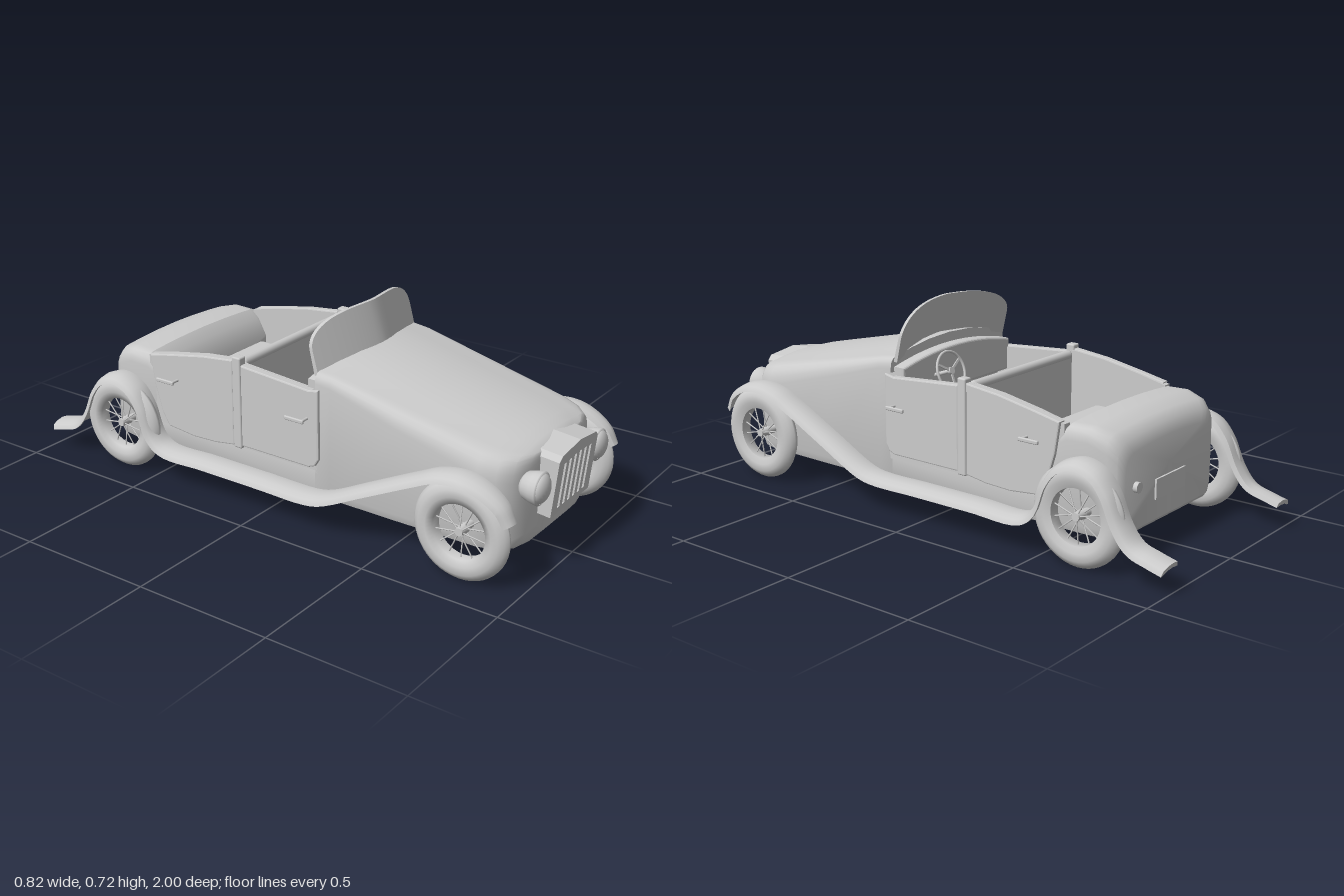
import * as THREE from 'three';
import { toCreasedNormals } from 'three/addons/utils/BufferGeometryUtils.js';
import { RoundedBoxGeometry } from 'three/addons/geometries/RoundedBoxGeometry.js';

const grey = new THREE.MeshStandardMaterial({ color: 0xcccccc });
const greyDouble = new THREE.MeshStandardMaterial({ color: 0xcccccc, side: THREE.DoubleSide });
const V = (x, y, z) => new THREE.Vector3(x, y, z);

export function createModel() {
  const car = new THREE.Group();
  car.name = 'roadster';

  const add = (name, geo, x = 0, y = 0, z = 0, parent = car, mat = grey) => {
    const m = new THREE.Mesh(geo, mat);
    m.name = name;
    m.position.set(x, y, z);
    parent.add(m);
    return m;
  };

  // Skin closed loops of points into a capped solid
  const loft = (loops, crease = 0.6) => {
    const n = loops[0].length, pos = [], idx = [];
    loops.forEach(l => l.forEach(p => pos.push(p.x, p.y, p.z)));
    for (let i = 0; i < loops.length - 1; i++) for (let j = 0; j < n; j++) {
      const a = i * n + j, b = i * n + (j + 1) % n;
      idx.push(a, b, a + n, b, b + n, a + n);
    }
    [0, loops.length - 1].forEach((k, end) => {
      const c = loops[k].reduce((s, p) => s.add(p), V(0, 0, 0)).divideScalar(n);
      const ci = pos.length / 3;
      pos.push(c.x, c.y, c.z);
      for (let j = 0; j < n; j++) {
        const a = k * n + j, b = k * n + (j + 1) % n;
        end ? idx.push(ci, a, b) : idx.push(ci, b, a);
      }
    });
    const g = new THREE.BufferGeometry();
    g.setAttribute('position', new THREE.Float32BufferAttribute(pos, 3));
    g.setIndex(idx);
    return toCreasedNormals(g, crease);
  };

  // Body cross-section: flat bottom, rounded shoulders, crowned top
  const section = ([z, w, b, t, crown, r]) => {
    const top = x => t - crown * (x / w) ** 2;
    const half = [[w - 0.035, b], [w - 0.01, b + 0.012], [w, b + 0.04]];
    const y1 = top(w - r), y0 = y1 - r;
    for (let i = 0; i <= 5; i++) {
      const k = i / 5;
      half.push([w - r * k * k, y0 + (y1 - y0) * (2 * k - k * k)]);
    }
    [0.75, 0.4].forEach(k => half.push([(w - r) * k, top((w - r) * k)]));
    return [V(0, b, z), ...half.map(p => V(p[0], p[1], z)), V(0, t, z),
      ...half.reverse().map(p => V(-p[0], p[1], z))];
  };
  const body = (name, rows) => add(name, loft(rows.map(section)), 0, 0, 0, car, greyDouble);

  body('hood', [
    [0.18, 0.315, 0.08, 0.582, 0.045, 0.04], [0.24, 0.315, 0.08, 0.575, 0.045, 0.04],
    [0.5, 0.315, 0.08, 0.515, 0.045, 0.06], [0.8, 0.31, 0.08, 0.446, 0.04, 0.08],
    [0.86, 0.295, 0.08, 0.432, 0.04, 0.08], [0.9, 0.26, 0.083, 0.42, 0.035, 0.08],
    [0.922, 0.2, 0.09, 0.41, 0.03, 0.07], [0.932, 0.12, 0.1, 0.4, 0.02, 0.05]]);
  body('floorTub', [[0.18, 0.315, 0.08, 0.2, 0, 0.01], [-0.52, 0.315, 0.08, 0.2, 0, 0.01]]);
  body('tail', [
    [-0.5, 0.312, 0.08, 0.36, 0.01, 0.03], [-0.535, 0.315, 0.08, 0.425, 0.012, 0.04],
    [-0.57, 0.32, 0.08, 0.457, 0.015, 0.05], [-0.65, 0.318, 0.08, 0.46, 0.015, 0.05],
    [-0.715, 0.307, 0.08, 0.445, 0.018, 0.06], [-0.747, 0.29, 0.088, 0.42, 0.02, 0.07],
    [-0.762, 0.265, 0.105, 0.38, 0.02, 0.07]]);

  // Extruded side panel from a (z, y) outline, mirrored to both sides
  const sidePanels = (name, pts, x0, x1, bevel = 0) => [1, -1].forEach(s => {
    const g = new THREE.ExtrudeGeometry(new THREE.Shape(pts.map(p => new THREE.Vector2(p[0], p[1]))), {
      depth: x1 - x0 - 2 * bevel, bevelEnabled: bevel > 0, bevelSize: bevel, bevelOffset: -bevel,
      bevelThickness: bevel, bevelSegments: 2 });
    g.rotateY(-Math.PI / 2);
    add(name, g, (s > 0 ? x1 - bevel : -x0 - bevel), 0, 0);
  });
  sidePanels('cabinSide', [[0.19, 0.18], [0.19, 0.5], [0.16, 0.478], [-0.13, 0.5], [-0.17, 0.512],
    [-0.3, 0.498], [-0.45, 0.47], [-0.56, 0.445], [-0.56, 0.18]], 0.285, 0.315);
  sidePanels('frontDoor', [[0.2, 0.235], [0.2, 0.49], [0.16, 0.482], [-0.13, 0.503], [-0.13, 0.2],
    [0.16, 0.2], [0.185, 0.21]], 0.295, 0.326, 0.005);
  sidePanels('rearDoor', [[-0.165, 0.195], [-0.165, 0.515], [-0.3, 0.5], [-0.45, 0.472], [-0.548, 0.452],
    [-0.53, 0.34], [-0.5, 0.24], [-0.47, 0.19], [-0.35, 0.178], [-0.25, 0.182]], 0.295, 0.326, 0.005);

  // Windscreen: gently bowed pane with a rounded top
  const pane = [];
  for (let i = 0; i <= 32; i++) {
    const u = Math.sin((i / 16 - 1) * Math.PI / 2), k = Math.abs(u), x = 0.297 * u;
    const yb = 0.573 - 0.045 * k ** 1.5, yt = 0.62 + 0.1 * Math.sqrt(Math.max(0, 1 - k ** 3.2)) - 0.006 * k;
    const zb = 0.242 - 0.06 * k ** 1.4, lean = 0.28 * (yt - yb);
    pane.push([V(x, yb, zb), V(x, yt, zb - lean), V(x, yt, zb - lean - 0.012), V(x, yb, zb - 0.016)]);
  }
  add('windscreen', loft(pane), 0, 0, 0, car, greyDouble);

  // Dashboard and seats
  const dash = new THREE.Shape();
  dash.moveTo(-0.29, 0.4);
  dash.lineTo(0.29, 0.4);
  dash.lineTo(0.29, 0.505);
  dash.quadraticCurveTo(0, 0.575, -0.29, 0.505);
  add('dashboard', new THREE.ExtrudeGeometry(dash, { depth: 0.03, bevelSize: 0.008, bevelThickness: 0.01, bevelSegments: 3 }), 0, 0, 0.145);
  add('frontSeatBack', new RoundedBoxGeometry(0.57, 0.3, 0.025, 2, 0.008), 0, 0.345, -0.155);
  add('seatTopRail', new THREE.CapsuleGeometry(0.017, 0.54, 6, 12).rotateZ(Math.PI / 2), 0, 0.495, -0.155);
  add('frontSeatCushion', new RoundedBoxGeometry(0.57, 0.08, 0.2, 3, 0.02), 0, 0.24, -0.05);
  add('rearSeatCushion', new RoundedBoxGeometry(0.55, 0.14, 0.24, 3, 0.025), 0, 0.265, -0.4);

  // Steering wheel and column
  const steering = new THREE.Group();
  steering.name = 'steeringWheel';
  steering.position.set(0.13, 0.482, 0.062);
  steering.rotation.x = 0.35;
  car.add(steering);
  add('steeringRim', new THREE.TorusGeometry(0.07, 0.005, 8, 32), 0, 0, 0, steering);
  add('steeringHub', new THREE.CylinderGeometry(0.013, 0.013, 0.012, 16).rotateX(Math.PI / 2), 0, 0, 0, steering);
  add('steeringColumn', new THREE.CylinderGeometry(0.007, 0.007, 0.14, 12).rotateX(Math.PI / 2), 0, 0, 0.07, steering);
  for (let i = 0; i < 3; i++) {
    add('steeringSpoke', new THREE.BoxGeometry(0.008, 0.07, 0.005).translate(0, 0.035, 0), 0, 0, 0, steering)
      .rotation.z = Math.PI / 3 + i * Math.PI * 2 / 3;
  }

  // Grille with cut slots
  const grille = new THREE.Group();
  grille.name = 'grille';
  grille.position.set(0, 0.18, 0.94);
  grille.rotation.x = 0.1;
  car.add(grille);
  const outline = () => new THREE.Shape([[-0.135, 0], [0.135, 0], [0.135, 0.2], [0.118, 0.218], [0, 0.234],
    [-0.118, 0.218], [-0.135, 0.2]].map(p => new THREE.Vector2(...p)));
  const face = outline();
  for (let i = -2.5; i <= 2.5; i++) {
    const x = i * 0.035, t = 0.19 - Math.abs(i) * 0.003;
    face.holes.push(new THREE.Path([[x - 0.008, 0.02], [x - 0.008, t], [x + 0.008, t], [x + 0.008, 0.02]]
      .map(p => new THREE.Vector2(...p))));
  }
  add('grilleFace', new THREE.ExtrudeGeometry(face, { depth: 0.022, bevelEnabled: false }), 0, 0, 0.015, grille);
  add('grilleShell', new THREE.ExtrudeGeometry(outline(), { depth: 0.085, bevelEnabled: false }), 0, 0, -0.07, grille);

  // Swept wing: front fender, running board and rear fender in one strip
  const path = new THREE.CatmullRomCurve3([[0.972, 0.25], [0.94, 0.305], [0.87, 0.352], [0.785, 0.372],
    [0.69, 0.358], [0.61, 0.322], [0.42, 0.228], [0.26, 0.15], [0.2, 0.137], [0, 0.137], [-0.25, 0.137], [-0.44, 0.137],
    [-0.485, 0.17], [-0.525, 0.27], [-0.575, 0.334], [-0.655, 0.366], [-0.735, 0.345], [-0.79, 0.285],
    [-0.835, 0.19], [-0.88, 0.135], [-0.94, 0.115], [-0.998, 0.1]].map(p => V(0, p[1], p[0])));
  const strip = [[0.322, -0.02], [0.328, -0.004], [0.355, 0], [0.385, -0.005], [0.404, -0.014], [0.412, -0.032],
    [0.405, -0.032], [0.38, -0.021], [0.355, -0.018]];
  const wing = s => {
    const loops = [];
    for (let i = 0; i <= 110; i++) {
      const p = path.getPoint(i / 110), t = path.getTangent(i / 110);
      const tip = 0.55 + 0.45 * Math.min(1, i / 14);
      loops.push(strip.map(([x, o]) => V(s * (0.365 + (x - 0.365) * tip), p.y - t.z * o, p.z + t.y * o)));
    }
    return loft(loops, 0.8);
  };

  // Wire-spoked wheel
  const side = [[0.096, -0.02], [0.12, -0.029], [0.145, -0.03], [0.163, -0.017], [0.173, -0.004]];
  const tyreProfile = [...side, ...side.map(p => [p[0], -p[1]]).reverse(), side[0]].map(p => new THREE.Vector2(...p));
  const wheel = (s, z) => {
    const w = new THREE.Group();
    w.name = 'wheel';
    w.position.set(s * 0.365, 0.175, z);
    car.add(w);
    add('tyre', new THREE.LatheGeometry(tyreProfile, 48).rotateZ(Math.PI / 2), 0, 0, 0, w, greyDouble);
    add('hub', new THREE.CylinderGeometry(0.014, 0.018, 0.04, 16).rotateZ(-s * Math.PI / 2), 0, 0, 0, w);
    add('axleStub', new THREE.CylinderGeometry(0.014, 0.014, 0.07, 16).rotateZ(Math.PI / 2), -s * 0.045, 0, 0, w);
    for (let i = 0; i < 14; i++) {
      const a = i * Math.PI / 7, end = V(0, Math.cos(a) * 0.098, Math.sin(a) * 0.098);
      const start = V((i % 2 ? 1 : -1) * 0.014, 0, 0);
      add('spoke', new THREE.TubeGeometry(new THREE.LineCurve3(start, end), 1, 0.0025, 6), 0, 0, 0, w);
    }
  };

  const bowl = [[0.001, -0.055], [0.025, -0.05], [0.045, -0.03], [0.054, 0], [0.057, 0.022], [0.05, 0.026]]
    .map(p => new THREE.Vector2(...p));
  for (const s of [1, -1]) {
    add('fender', wing(s), 0, 0, 0, car, greyDouble);
    wheel(s, 0.787);
    wheel(s, -0.656);
    add('doorPillar', new RoundedBoxGeometry(0.035, 0.34, 0.036, 2, 0.006), s * 0.312, 0.36, -0.147);

    // Headlight bowl and domed lens
    add('headlightBowl', new THREE.LatheGeometry(bowl, 24).rotateX(Math.PI / 2), s * 0.203, 0.308, 0.952, car, greyDouble);
    add('headlightLens', new THREE.SphereGeometry(0.05, 24, 16).scale(1, 1, 0.55), s * 0.203, 0.308, 0.971);

    // Door handles on short stems
    for (const z of [0.125, -0.45]) {
      add('doorHandle', new RoundedBoxGeometry(0.01, 0.014, 0.08, 2, 0.004), s * 0.36, 0.38, z);
      add('handleStem', new THREE.CylinderGeometry(0.005, 0.005, 0.045, 10).rotateZ(Math.PI / 2), s * 0.339, 0.38, z + 0.03);
    }
  }

  // Rear plate and single tail light
  add('rearPlate', new THREE.BoxGeometry(0.18, 0.07, 0.012), 0, 0.21, -0.763);
  add('tailLight', new THREE.CylinderGeometry(0.018, 0.018, 0.025, 16).rotateX(Math.PI / 2), 0.205, 0.25, -0.765);
  return car;
}
